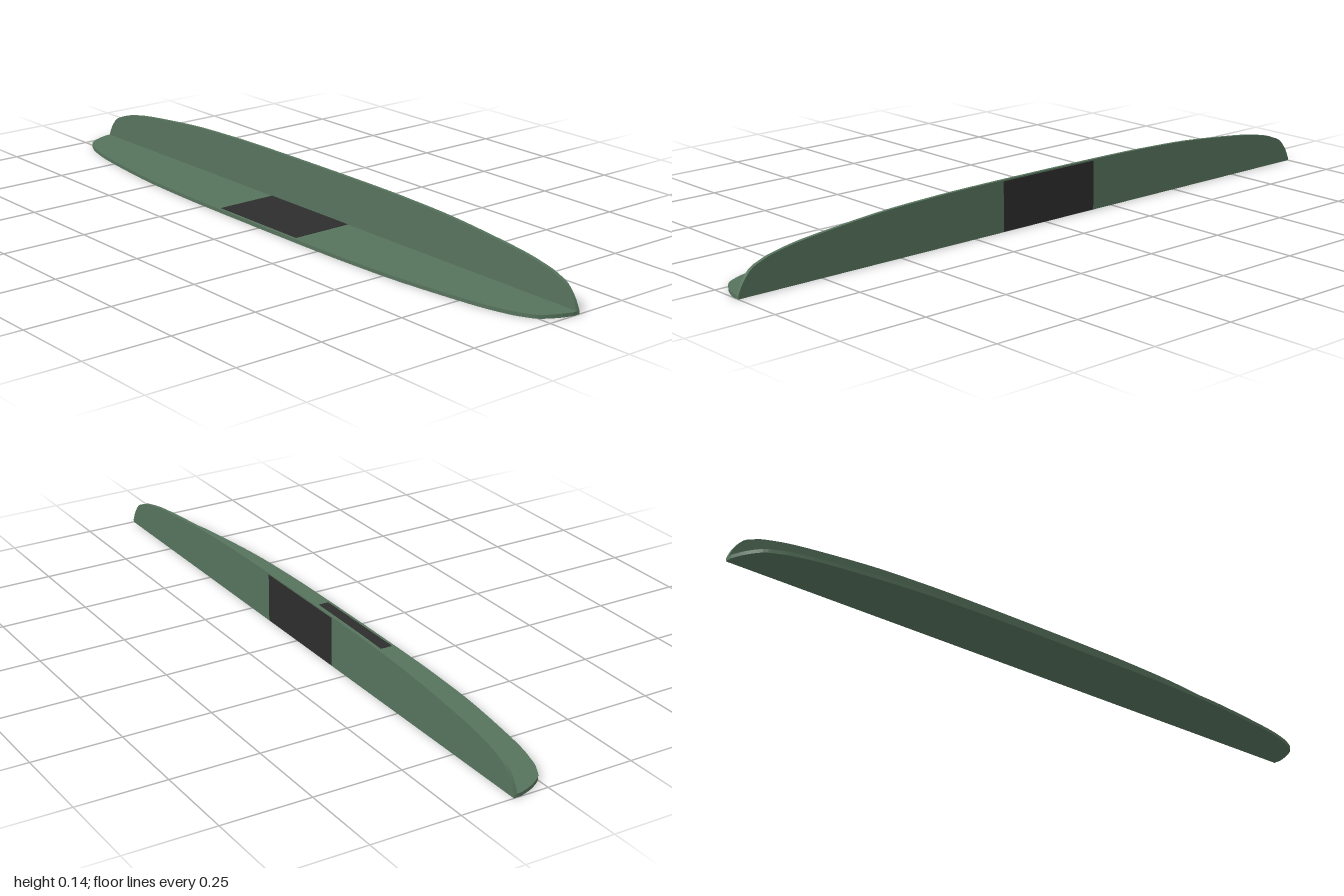
import * as THREE from 'three';
import { toCreasedNormals } from 'three/addons/utils/BufferGeometryUtils.js';

const THICK = 0.01;

// Half outline shared by both plates: x, and reach as a fraction of the full reach
const PROFILE = [
  [1, 0.06], [0.985, 0.27], [0.96, 0.47], [0.93, 0.57], [0.89, 0.655], [0.79, 0.775],
  [0.57, 0.92], [0.4, 0.973], [0.25, 0.994], [0, 1],
];

// Long plate with a straight edge along y = 0 and rounded ends
function plateGeometry(reach) {
  const half = PROFILE.map(([x, r]) => new THREE.Vector2(x, r * reach));
  const mirrored = half.slice(0, -1).reverse().map((p) => new THREE.Vector2(-p.x, p.y));
  const shape = new THREE.Shape();
  shape.moveTo(-1, 0);
  shape.lineTo(1, 0);
  shape.lineTo(half[0].x, half[0].y);
  shape.splineThru([...half.slice(1), ...mirrored]);
  shape.closePath();
  const geometry = new THREE.ExtrudeGeometry(shape, {
    depth: THICK, bevelEnabled: false, curveSegments: 64,
  });
  return toCreasedNormals(geometry, Math.PI / 5);
}

export function createModel() {
  const green = new THREE.MeshStandardMaterial({ color: 0x56735c });
  green.name = 'muted green';
  const dark = new THREE.MeshStandardMaterial({ color: 0x2d2d2d });
  dark.name = 'charcoal';

  const model = new THREE.Group();
  model.name = 'anglePlate';
  const add = (name, geometry, material, x, y, z) => {
    const mesh = new THREE.Mesh(geometry, material);
    mesh.name = name;
    mesh.position.set(x, y, z);
    model.add(mesh);
    return mesh;
  };

  // Upright plate along the back
  add('uprightPlate', plateGeometry(0.144), green, 0, 0, -0.1);

  // Flat plate reaching forward from the foot of the upright
  const flat = add('flatPlate', plateGeometry(0.19), green, 0, THICK, -0.09);
  flat.rotation.x = Math.PI / 2;

  // Dark pads on the top of the flat plate and the back of the upright
  add('topPad', new THREE.BoxGeometry(0.33, 0.002, 0.182), dark, -0.014, THICK, 0.0);
  add('backPad', new THREE.BoxGeometry(0.33, 0.139, 0.002), dark, -0.014, 0.0705, -0.1);

  return model;
}
